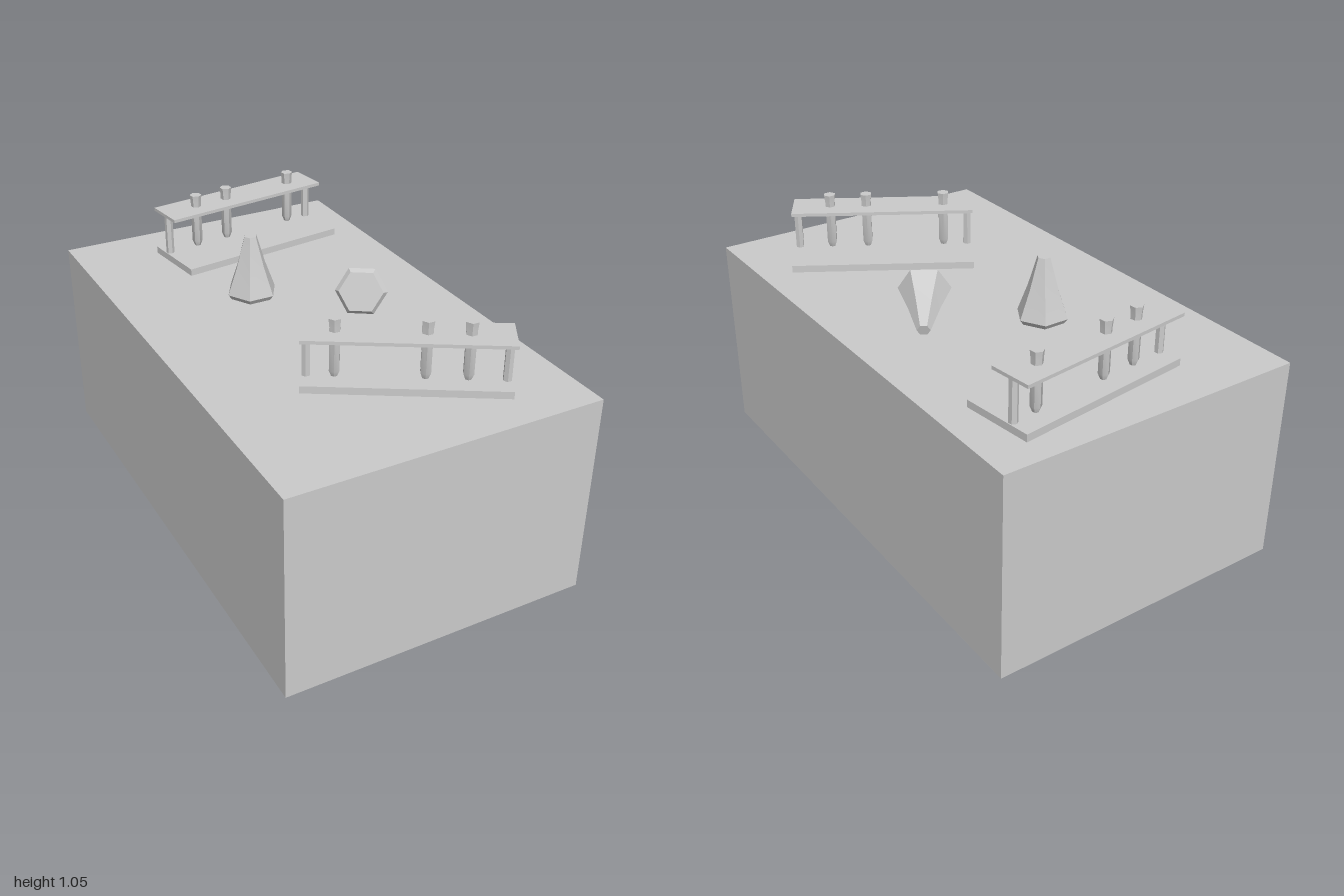
import * as THREE from 'three';
import { toCreasedNormals } from 'three/addons/utils/BufferGeometryUtils.js';

const TABLE_TOP = 0.8;
const material = new THREE.MeshStandardMaterial({ color: 0xcccccc });

function add(parent, name, geometry, x = 0, y = 0, z = 0) {
  const mesh = new THREE.Mesh(geometry, material);
  mesh.name = name;
  mesh.position.set(x, y, z);
  parent.add(mesh);
  return mesh;
}

// Closed six-sided turned solid: smooth along its profile, sharp between sides
function hexLathe(profile) {
  const points = profile.map(([r, y]) => new THREE.Vector2(r, y));
  return toCreasedNormals(new THREE.LatheGeometry(points, 6), 0.6);
}

const tubeGeometry = hexLathe([[0, 0], [0.012, 0], [0.021, 0.022], [0.021, 0.19], [0.0245, 0.222], [0, 0.222]]);
const flaskGeometry = hexLathe([[0, 0], [0.085, 0], [0.1, 0.02], [0.06, 0.13], [0.025, 0.25], [0, 0.25]]).rotateY(Math.PI / 6);
const postGeometry = new THREE.CylinderGeometry(0.0165, 0.0165, 0.164, 6).toNonIndexed();
postGeometry.computeVertexNormals();

// Rack: base plate, offset shelf on two posts, three test tubes
function createRack(name, x, z, yaw) {
  const rack = new THREE.Group();
  rack.name = name;
  const shelfZ = 0.058;
  add(rack, 'rackBase', new THREE.BoxGeometry(0.72, 0.028, 0.278), 0, 0.014, 0);
  add(rack, 'rackShelf', new THREE.BoxGeometry(0.72, 0.013, 0.162), 0, 0.195, shelfZ);
  for (const side of [-1, 1]) add(rack, 'rackPost', postGeometry, side * 0.342, 0.109, shelfZ);
  for (const tubeX of [-0.245, 0.065, 0.21]) add(rack, 'testTube', tubeGeometry, tubeX, 0.028, shelfZ);
  rack.position.set(x, TABLE_TOP, z);
  rack.rotation.y = yaw;
  return rack;
}

export function createModel() {
  const model = new THREE.Group();
  model.name = 'laboratoryTable';

  add(model, 'tableBlock', new THREE.BoxGeometry(1.2, TABLE_TOP, 2), 0, TABLE_TOP / 2, 0);

  model.add(createRack('frontRack', 0.1, 0.555, -0.54));
  model.add(createRack('backRack', 0.1, -0.711, Math.PI + 0.132));

  add(model, 'standingFlask', flaskGeometry, -0.097, TABLE_TOP, -0.258);

  // Fallen flask rests on its base rim and its mouth
  const fallen = add(model, 'fallenFlask', flaskGeometry, 0.2, TABLE_TOP + 0.0887, 0.076);
  fallen.rotation.set(Math.PI / 2 + 0.2755, 2.565, 0, 'YXZ');

  return model;
}
